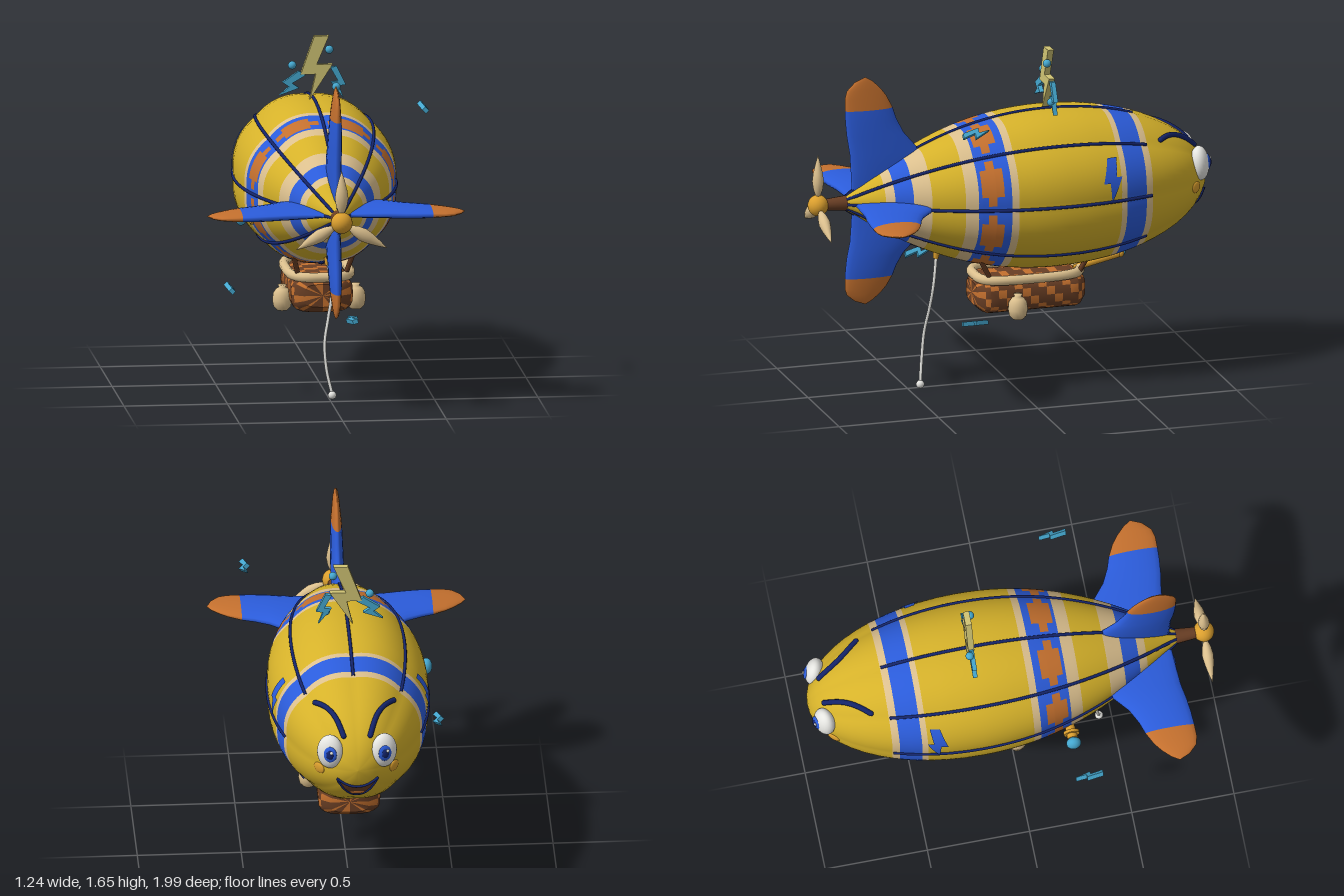
import * as THREE from 'three';
import { toCreasedNormals } from 'three/addons/utils/BufferGeometryUtils.js';

const V = (x, y, z) => new THREE.Vector3(x, y, z);
const mat = (name, color, side = THREE.FrontSide) => Object.assign(new THREE.MeshStandardMaterial({ color, side }), { name });
const AXIS = 0.96; // height of the hull axis

// Hull radius along z, and a point on the scalloped skin
const hullR = z => z < -0.2 ? 0.383 * Math.sqrt(Math.max(0, 1 - ((z + 0.2) / 0.79) ** 2))
  : Math.max(0.03, 0.383 * (1 - ((z + 0.2) / 1.05) ** 2.1));
const lobe = a => 1 + 0.03 * Math.abs(Math.sin(4 * a));
const onHull = (a, z, lift = 0) => {
  const r = hullR(z) * lobe(a) + lift;
  return V(r * Math.cos(a), AXIS + r * Math.sin(a), z);
};
const onNose = (x, y, lift) => {
  const r = Math.hypot(x, y) / (0.383 * lobe(Math.atan2(y, x)));
  return V(x, AXIS + y, -0.2 - 0.79 * Math.sqrt(1 - r * r) - lift);
};

// Skin over rings of points; pick(i, j) gives the material index of each quad
function loft(rings, pick = () => 0, closed = true) {
  const n = rings[0].length, buckets = [];
  for (let i = 0; i < rings.length - 1; i++) for (let j = 0; j < (closed ? n : n - 1); j++) {
    const k = (j + 1) % n, a = i * n + j, b = i * n + k, c = b + n, d = a + n;
    (buckets[pick(i, j)] ||= []).push(a, b, c, a, c, d);
  }
  const geo = new THREE.BufferGeometry().setFromPoints(rings.flat());
  geo.setIndex(buckets.flat());
  let start = 0;
  buckets.forEach((b, m) => { geo.addGroup(start, b.length, m); start += b.length; });
  geo.computeVertexNormals();
  return geo;
}

export function createModel() {
  const model = new THREE.Group();
  const yellow = mat('hull yellow', 0xd6b22a), blue = mat('blue', 0x2b5cdb, THREE.DoubleSide), navy = mat('navy', 0x14246a),
    tan = mat('tan', 0xdcc08e), orange = mat('burnt orange', 0xc4702e), brown = mat('brown', 0x693e24, THREE.DoubleSide),
    cyan = mat('cyan', 0x45a8d0), white = mat('white', 0xe6e6e2), amber = mat('amber', 0xdb9f2e), khaki = mat('pale bolt', 0xd0c474);

  const add = (name, geo, m, parent = model) => {
    const mesh = new THREE.Mesh(geo, m);
    mesh.name = name;
    parent.add(mesh);
    return mesh;
  };
  const tube = (name, pts, r, m, seg = 24) => add(name, new THREE.TubeGeometry(new THREE.CatmullRomCurve3(pts), seg, r, 8), m);
  const ball = (name, p, rx, ry, rz, m, parent) => {
    const b = add(name, new THREE.SphereGeometry(1, 24, 16), m, parent);
    b.scale.set(rx, ry, rz);
    b.position.copy(p);
    return b;
  };
  const rod = (name, a, b, ra, rb, m) => {
    const r = add(name, new THREE.CylinderGeometry(rb, ra, a.distanceTo(b), 16), m);
    r.position.copy(a).lerp(b, 0.5);
    r.quaternion.setFromUnitVectors(V(0, 1, 0), b.clone().sub(a).normalize());
    return r;
  };

  // Hull with painted bands: [start of band, material index]
  const bands = [[-1, 0], [-0.635, 2], [-0.6, 1], [-0.495, 2], [-0.467, 0], [0.05, 2], [0.085, 1], [0.12, 4], [0.155, 5],
    [0.195, 4], [0.225, 1], [0.24, 2], [0.3, 0], [0.45, 2], [0.53, 1], [0.61, 2], [0.65, 0]];
  const stations = bands.slice(1).map(b => b[0]);
  for (let i = 0; i <= 14; i++) stations.push(-0.2 - 0.79 * Math.cos(i / 14 * Math.PI / 2));
  for (let z = -0.14; z < 0.84; z += 0.06) stations.push(z);
  stations.push(0.835);
  stations.sort((a, b) => a - b);
  const hullRings = stations.map(z => Array.from({ length: 96 }, (_, j) => onHull(j / 96 * Math.PI * 2, z)));
  add('hull', loft(hullRings, (i, j) => {
    const z = (stations[i] + stations[i + 1]) / 2, k = j % 12;
    const c = bands.filter(b => b[0] <= z).pop()[1];
    if (c === 4) return k >= 3 && k <= 8 ? 3 : 1;
    if (c === 5) return k >= 1 && k <= 10 ? 3 : 1;
    return c;
  }), [yellow, blue, tan, orange]);

  // Seam cords along the valleys
  for (let k = 0; k < 8; k++) {
    const pts = Array.from({ length: 16 }, (_, i) => onHull(k * Math.PI / 4, -0.63 + i * 0.096, 0.002));
    tube('seamCord', pts, 0.008, navy, 48);
  }

  // Tail fins: [span, leading z, trailing z, half thickness]
  const finRows = [[0.04, 0.38, 0.78, 0.02], [0.15, 0.4, 0.785, 0.03], [0.24, 0.445, 0.79, 0.032], [0.33, 0.52, 0.805, 0.031],
    [0.4, 0.555, 0.812, 0.029], [0.46, 0.575, 0.815, 0.026], [0.52, 0.605, 0.815, 0.02], [0.56, 0.635, 0.805, 0.016],
    [0.6, 0.675, 0.765, 0.01], [0.622, 0.71, 0.715, 0.001]];
  const finRings = finRows.map(([s, l, t, h]) => Array.from({ length: 20 }, (_, j) => {
    const a = j / 20 * Math.PI * 2;
    return V(s, -h * Math.sin(a), (l + t) / 2 + (t - l) / 2 * Math.cos(a));
  }));
  const finGeo = loft(finRings, i => i >= 5 ? 1 : 0);
  for (let k = 0; k < 4; k++) {
    const fin = add('tailFin', finGeo, [blue, orange]);
    fin.position.y = AXIS;
    fin.rotation.z = k * Math.PI / 2;
    if (k === 3) fin.scale.x = 0.83;
  }

  // Propeller
  rod('propellerShaft', V(0, AXIS, 0.8), V(0, AXIS, 0.93), 0.038, 0.026, brown);
  ball('propellerHub', V(0, AXIS, 0.95), 0.052, 0.052, 0.05, amber);
  const bladeGeo = new THREE.LatheGeometry([[0, 0.03], [0.014, 0.05], [0.026, 0.08], [0.033, 0.12], [0.027, 0.16], [0.014, 0.21], [0, 0.255]]
    .map(p => new THREE.Vector2(...p)), 16);
  for (let k = 0; k < 3; k++) {
    const blade = add('propellerBlade', bladeGeo, tan);
    blade.position.set(0, AXIS, 0.95);
    blade.rotation.z = k * Math.PI * 2 / 3;
    blade.scale.z = 0.85;
  }

  // Face: eyes, brows, cheeks and side flashes on both sides
  const flash = (name, s, from, to) => {
    const rings = Array.from({ length: 11 }, (_, i) => {
      const t = i / 10, [y, l, r] = from.map((f, n) => f + (to[n] - f) * t);
      return [0, 0.5, 1].map(u => {
        const z = -0.42 - (l + (r - l) * u);
        const p = onHull(Math.asin(y / hullR(z)), z, 0.006);
        return V(s * p.x, p.y, p.z);
      });
    });
    add(name, loft(rings, () => 0, false), blue);
  };
  for (const s of [-1, 1]) {
    const eye = new THREE.Group();
    eye.name = 'eye';
    eye.position.set(s * 0.13, 1.04, -0.93);
    eye.lookAt(s * 0.13 + s * 0.4, 1.14, -1.93);
    model.add(eye);
    ball('eyeball', V(0, 0, 0), 0.064, 0.085, 0.045, white, eye);
    ball('iris', V(s * 0.012, 0, 0.037), 0.034, 0.04, 0.013, blue, eye);
    ball('pupil', V(s * 0.014, 0, 0.044), 0.019, 0.024, 0.011, navy, eye);
    ball('glint', V(s * 0.014 + 0.01, 0.014, 0.052), 0.008, 0.008, 0.005, white, eye);

    const brow = Array.from({ length: 8 }, (_, i) => {
      const t = i / 7, p = onHull(1.18 - 0.29 * t + 0.08 * Math.sin(t * Math.PI), -0.92 + 0.205 * t, 0.006);
      return V(s * p.x, p.y, p.z);
    });
    tube('brow', brow, 0.013, navy);
    for (const p of [brow[0], brow[7]]) ball('browEnd', p, 0.013, 0.013, 0.013, navy);

    const cheek = ball('cheek', V(s * 0.18, 0.935, -0.895), 0.034, 0.028, 0.01, amber);
    cheek.lookAt(s * 0.18 + s * 0.8, 0.9, -1.6);

    flash('sideFlashTop', s, [0.2, -0.016, 0.032], [0.09, -0.048, 0.016]);
    flash('sideFlashBottom', s, [0.115, -0.016, 0.05], [0, -0.006, -0.004]);
  }

  // Smiling mouth
  const smile = (x, mid) => mid + (-0.05 - mid) * (x / 0.1) ** 2;
  const xs = Array.from({ length: 17 }, (_, i) => -0.1 + i / 80);
  const patch = (name, top, bottom, lift, m, half) => add(name, loft(xs.map(x0 => [0, 0.33, 0.67, 1].map(t => {
    const x = x0 * half;
    return onNose(x, smile(x, top) * (1 - t) + smile(x, bottom) * t, lift);
  })), () => 0, false), m);
  patch('mouth', -0.095, -0.16, 0.005, brown, 1);
  const tongue = ball('tongue', onNose(0, -0.138, 0.004), 0.035, 0.014, 0.005, orange);
  tongue.rotation.x = -0.35;
  for (const mid of [-0.095, -0.16]) tube('lip', xs.map(x => onNose(x, smile(x, mid), 0.004)), 0.006, navy);

  // Woven basket
  const sp = (v, e) => Math.sign(v) * Math.abs(v) ** e;
  const ends = [[-0.365, 0], [-0.365, 0.62], [-0.335, 0.92]];
  for (let i = 0; i <= 11; i++) ends.push([-0.315 + i * 0.04, 1]);
  ends.push([0.147, 0.92], [0.177, 0.62], [0.177, 0]);
  const basketRings = ends.map(([z, k]) => Array.from({ length: 24 }, (_, j) => {
    const a = j / 24 * Math.PI * 2;
    return V(0.15 * k * sp(Math.cos(a), 0.6), 0.455 + 0.09 * k * sp(Math.sin(a), 0.6), z);
  }));
  add('basket', toCreasedNormals(loft(basketRings, (i, j) =>
    i < 2 || i > ends.length - 4 ? +(j % 3 === 0) : +((j + i * 2) % 3 === 0)), 0.6), [brown, orange]);
  const rim = Array.from({ length: 40 }, (_, i) => {
    const a = i / 40 * Math.PI * 2;
    return V(0.15 * sp(Math.cos(a), 0.6), 0.542, -0.093 + 0.257 * sp(Math.sin(a), 0.6));
  });
  add('basketRim', new THREE.TubeGeometry(new THREE.CatmullRomCurve3(rim, true), 80, 0.024, 10, true), tan);

  // Struts and sandbags
  const bagGeo = new THREE.LatheGeometry([[0, -0.062], [0.026, -0.058], [0.042, -0.04], [0.048, -0.01], [0.044, 0.025], [0.03, 0.046], [0.016, 0.054],
    [0.022, 0.066], [0, 0.068]].map(p => new THREE.Vector2(...p)), 20);
  for (const s of [-1, 1]) {
    rod('strut', V(s * 0.115, 0.55, 0.12), V(s * 0.15, 0.68, 0.19), 0.012, 0.012, brown);
    rod('strut', V(s * 0.115, 0.55, -0.33), V(s * 0.15, 0.67, -0.385), 0.012, 0.012, brown);
    add('sandbag', bagGeo, tan).position.set(s * 0.178, 0.415, 0);
  }

  // Spyglass under the hull and lamp on the side
  rod('spyglass', V(0.05, 0.545, -0.32), V(0.05, 0.6, -0.55), 0.015, 0.02, amber);
  ball('spyglassRing', V(0.05, 0.602, -0.555), 0.024, 0.024, 0.018, amber);
  ball('spyglassLens', V(0.05, 0.605, -0.568), 0.016, 0.016, 0.012, cyan);
  rod('lampArm', V(-0.27, 0.865, 0.23), V(-0.38, 0.86, 0.235), 0.022, 0.026, amber);
  rod('lampCollar', V(-0.345, 0.861, 0.234), V(-0.36, 0.861, 0.234), 0.038, 0.038, amber);
  ball('lampGlass', V(-0.405, 0.86, 0.235), 0.028, 0.04, 0.036, cyan);

  // Mooring rope
  rod('ropeFitting', V(0, 0.7, 0.35), V(0, 0.64, 0.358), 0.022, 0.012, amber);
  tube('mooringRope', [V(0, 0.66, 0.355), V(0.018, 0.51, 0.375), V(0, 0.39, 0.39), V(-0.02, 0.27, 0.41), V(-0.012, 0.14, 0.425), V(0.013, 0.025, 0.44)], 0.008, white, 40);
  ball('ropeBall', V(0.013, 0.02, 0.44), 0.02, 0.02, 0.02, white);

  // Zigzag bolts and sparks
  const zig = new THREE.Shape([[-0.05, 0.5], [0.27, 0.5], [0, 0.05], [0.35, 0.05], [-0.15, -0.5], [-0.02, -0.1], [-0.35, -0.1]]
    .map(p => new THREE.Vector2(...p)));
  const zigGeo = new THREE.ExtrudeGeometry(zig, { depth: 1, bevelEnabled: false }).translate(0, 0, -0.5);
  const bolt = (name, m, p, size, tilt) => {
    const b = add(name, zigGeo, m);
    b.position.copy(p);
    b.scale.set(...size);
    b.rotation.z = tilt;
    return b;
  };
  bolt('crownBolt', khaki, V(0.01, 1.5, -0.2), [0.22, 0.31, 0.03], 0);
  bolt('crownSpark', cyan, V(-0.112, 1.42, -0.2), [0.12, 0.15, 0.022], -0.6);
  bolt('crownSpark', cyan, V(0.115, 1.425, -0.2), [-0.1, 0.16, 0.022], 0.15);
  for (const p of [V(-0.105, 1.51, -0.215), V(0.07, 1.59, -0.18), V(0.105, 1.405, -0.19)]) ball('sparkBall', p, 0.02, 0.02, 0.02, cyan);
  for (const [x, y, z, roll] of [[0.467, 1.395, 0.3, -0.78], [-0.467, 0.53, 0.3, -0.78], [0.137, 0.34, 0.2, 0.3]]) {
    const spark = bolt('driftingSpark', cyan, V(x, y, z), [0.08, 0.135, 0.022], 0);
    spark.rotation.set(Math.PI / 2, 0, roll, 'ZYX');
  }
  return model;
}
